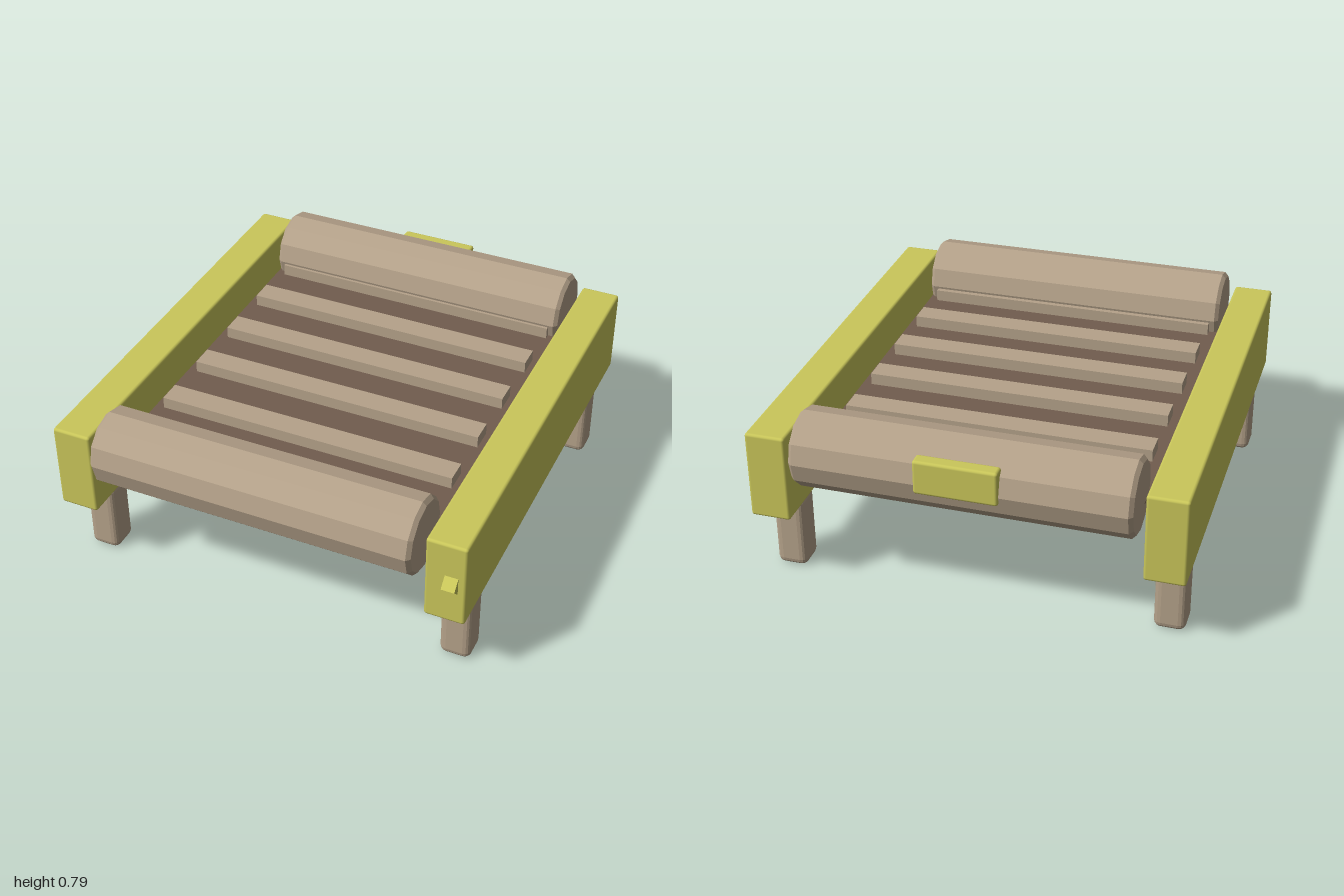
import * as THREE from 'three';
import { RoundedBoxGeometry } from 'three/addons/geometries/RoundedBoxGeometry.js';

export function createModel() {
  const group = new THREE.Group();
  const mat = (name, color, flatShading = false) => {
    const m = new THREE.MeshStandardMaterial({ color, flatShading });
    m.name = name;
    return m;
  };
  const green = mat('yellowGreen', 0xcac75a);
  const tan = mat('tan', 0xb5a28a, true);
  const brown = mat('brown', 0x715c4e);

  const add = (name, geometry, material, x, y, z) => {
    const mesh = new THREE.Mesh(geometry, material);
    mesh.name = name;
    mesh.position.set(x, y, z);
    group.add(mesh);
    return mesh;
  };

  // Side rails and their legs
  const railGeo = new RoundedBoxGeometry(0.166, 0.375, 1.86, 2, 0.012);
  const legGeo = new RoundedBoxGeometry(0.13, 0.33, 0.13, 2, 0.03);
  for (const [side, s] of [['left', 1], ['right', -1]]) {
    add(side + 'Rail', railGeo, green, s * 0.798, 0.514, 0);
    add(side + 'FrontLeg', legGeo, tan, s * 0.796, 0.165, 0.725);
    add(side + 'BackLeg', legGeo, tan, s * 0.796, 0.165, -0.715);
  }

  // Twelve-sided end rollers with chamfered rims
  const r = 0.16, half = 0.68, bevel = 0.016;
  const profile = [
    [0, -half], [r - bevel, -half], [r, -half + bevel],
    [r, half - bevel], [r - bevel, half], [0, half],
  ].map(([x, y]) => new THREE.Vector2(x, y));
  const rollerGeo = new THREE.LatheGeometry(profile, 12).rotateZ(Math.PI / 2);
  add('frontRoller', rollerGeo, tan, 0, 0.63, 0.84);
  add('backRoller', rollerGeo, tan, 0, 0.63, -0.83);

  // Belt bed with raised cross slats
  add('belt', new THREE.BoxGeometry(1.36, 0.05, 1.56), brown, 0, 0.545, 0);
  const slatGeo = new THREE.BoxGeometry(1.284, 0.06, 0.1);
  for (let i = 0; i < 6; i++) {
    add('slat' + (i + 1), slatGeo, tan, 0, 0.59, (i - 2.5) * 0.284);
  }

  // Handle plate on the back roller
  add('backHandle', new RoundedBoxGeometry(0.335, 0.145, 0.06, 2, 0.012), green, -0.002, 0.668, -0.97);

  // Tilted switch on the front of the left rail
  const knob = add('switch', new THREE.BoxGeometry(0.054, 0.057, 0.057), green, 0.822, 0.513, 0.928);
  knob.rotation.x = Math.PI / 4;

  return group;
}
